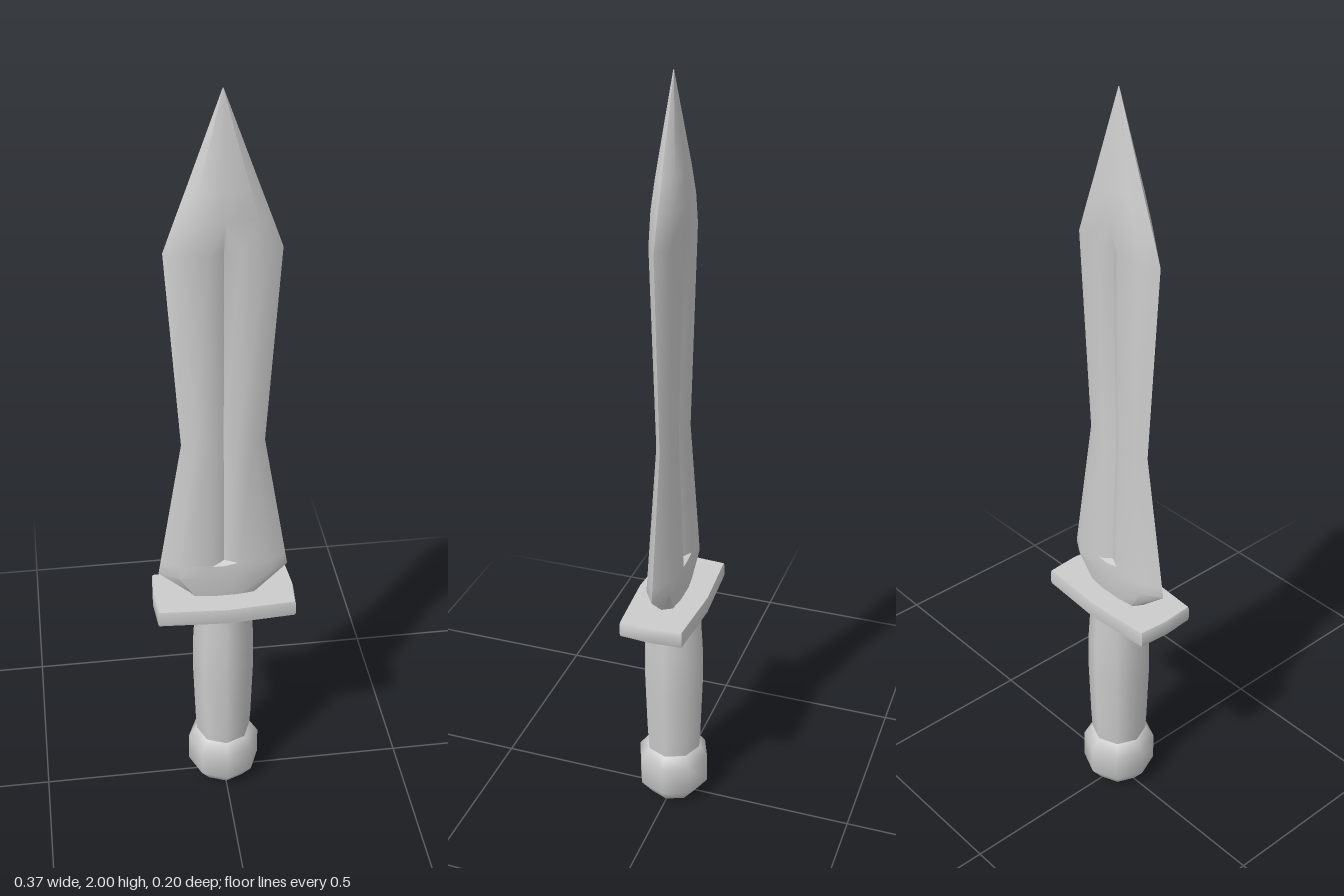
import * as THREE from 'three';
import { toCreasedNormals } from 'three/addons/utils/BufferGeometryUtils.js';

const material = new THREE.MeshStandardMaterial({ color: 0xcccccc });

// Skin a stack of equal-length rings (each ordered +x towards +z) and cap both ends.
function loft(rings, crease) {
  const n = rings[0].length;
  const points = rings.flat();
  const index = [];
  for (let i = 0; i < rings.length - 1; i++) {
    for (let j = 0; j < n; j++) {
      const a = i * n + j, b = i * n + (j + 1) % n;
      index.push(a, a + n, b, b, a + n, b + n);
    }
  }
  const last = (rings.length - 1) * n;
  const bottom = points.length, top = bottom + 1;
  points.push([0, rings[0][0][1], 0], [0, rings[rings.length - 1][0][1], 0]);
  for (let j = 0; j < n; j++) {
    const k = (j + 1) % n;
    index.push(bottom, j, k, top, last + k, last + j);
  }
  const geometry = new THREE.BufferGeometry();
  geometry.setAttribute('position', new THREE.Float32BufferAttribute(points.flat(), 3));
  geometry.setIndex(index);
  return toCreasedNormals(geometry, crease);
}

// Blade section: cutting edges, bevel shoulders and a central groove on both faces.
function bladeRing([y, half, shoulder, thick, groove, depth]) {
  const face = [
    [half, 0], [shoulder, thick * 0.8], [groove, thick], [0, thick - depth],
    [-groove, thick], [-shoulder, thick * 0.8],
  ];
  const back = face.map(([x, z]) => [-x, -z]);
  return [...face, ...back].map(([x, z]) => [x, y, z]);
}

function add(group, name, geometry) {
  const mesh = new THREE.Mesh(geometry, material);
  mesh.name = name;
  group.add(mesh);
}

export function createModel() {
  const group = new THREE.Group();
  group.name = 'dagger';

  // Leaf-shaped blade: y, half width, shoulder x, half thickness, groove half width, groove depth
  const blade = [
    [0.64, 0.09, 0.075, 0.03, 0.03, 0],
    [0.71, 0.17, 0.12, 0.04, 0.032, 0],
    [0.745, 0.164, 0.117, 0.038, 0.033, 0],
    [0.752, 0.163, 0.116, 0.038, 0.033, 0.018],
    [1.1, 0.105, 0.075, 0.024, 0.03, 0.014],
    [1.62, 0.14, 0.1, 0.033, 0.035, 0.018],
    [1.7, 0.111, 0.08, 0.035, 0.006, 0],
    [1.77, 0.085, 0.06, 0.03, 0.005, 0],
    [2.0, 0.001, 0.0007, 0.001, 0.0002, 0],
  ];
  add(group, 'blade', loft(blade.map(bladeRing), 0.7));

  // Guard: eight-cornered plate with slightly softened rims
  const plate = [
    [0.187, 0], [0.181, 0.083], [0, 0.095], [-0.181, 0.083],
    [-0.187, 0], [-0.181, -0.083], [0, -0.095], [0.181, -0.083],
  ];
  const guard = [[0.6, 0.985], [0.606, 1], [0.637, 1], [0.644, 0.985]]
    .map(([y, s]) => plate.map(([x, z]) => [x * s, y, z * s]));
  add(group, 'guard', loft(guard, 0.7));

  // Eight-sided grip and pommel, shaded smooth
  const lathe = (profile) => new THREE.LatheGeometry(
    profile.map(([r, y]) => new THREE.Vector2(r, y)), 8);
  add(group, 'grip', lathe([
    [0.073, 0.14], [0.077, 0.2], [0.083, 0.38], [0.082, 0.48], [0.077, 0.56], [0.076, 0.602],
  ]));
  add(group, 'pommel', lathe([
    [0, 0], [0.066, 0.003], [0.098, 0.045], [0.098, 0.125], [0.076, 0.155], [0.06, 0.16],
  ]));

  return group;
}
